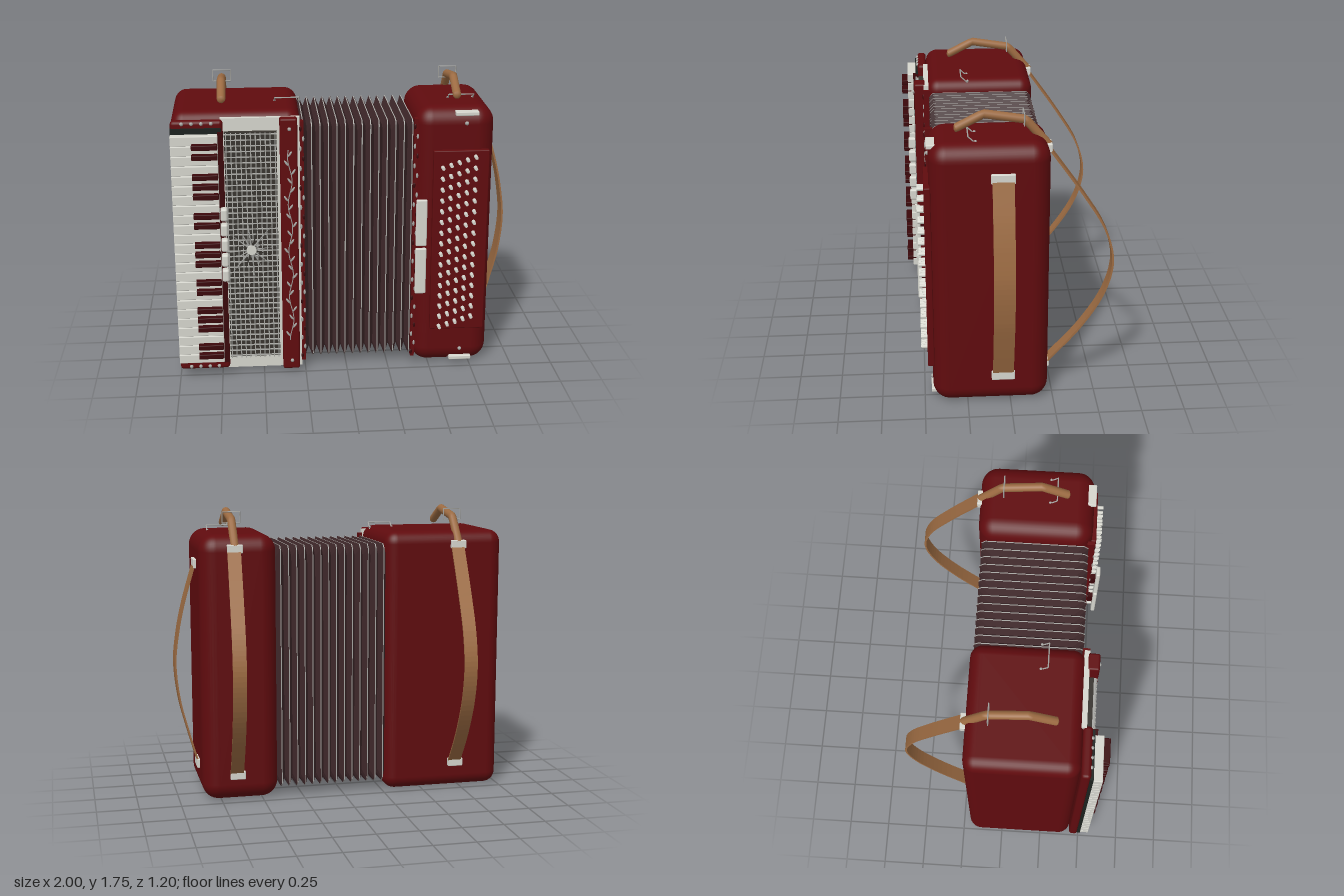
import * as THREE from 'three';
import { RoundedBoxGeometry } from 'three/addons/geometries/RoundedBoxGeometry.js';

const mat = (name, color) => Object.assign(new THREE.MeshStandardMaterial({ color }), { name });

export function createModel() {
  const root = new THREE.Group();
  root.name = 'accordion';
  const red = mat('lacquer red', 0x600b0e);
  const maroon = mat('dark maroon', 0x3a070a);
  const white = mat('ivory', 0xd6d6ce);
  const silver = mat('silver', 0xa8a8a4);
  const dark = mat('grille backing', 0x38342f);
  const black = mat('felt black', 0x1b211e);
  const fold = mat('bellows cloth', 0x40292b);
  const tan = mat('leather tan', 0x9c6b42);
  fold.side = silver.side = THREE.DoubleSide;

  const add = (name, geo, material, parent = root) => {
    const m = new THREE.Mesh(geo, material);
    m.name = name;
    parent.add(m);
    return m;
  };
  // Box given by its limits, optionally rounded
  const box = (name, material, [x0, x1], [y0, y1], [z0, z1], r = 0, parent = root) => {
    const s = [x1 - x0, y1 - y0, z1 - z0];
    const g = r ? new RoundedBoxGeometry(...s, r > 0.03 ? 5 : 2, r) : new THREE.BoxGeometry(...s);
    g.translate((x0 + x1) / 2, (y0 + y1) / 2, (z0 + z1) / 2);
    return add(name, g, material, parent);
  };
  const stud = (name, material, x, y, z, r, parent = root) => {
    const m = add(name, new THREE.SphereGeometry(r, 8, 6), material, parent);
    m.position.set(x, y, z);
    return m;
  };
  const vec = (p) => new THREE.Vector3(...p);
  // Thin wire through straight segments
  const wire = (name, pts, r, material, parent = root) => {
    for (let i = 0; i < pts.length - 1; i++)
      add(name, new THREE.TubeGeometry(new THREE.LineCurve3(vec(pts[i]), vec(pts[i + 1])), 1, r, 6), material, parent);
  };
  const group = (name) => {
    const g = new THREE.Group();
    g.name = name;
    root.add(g);
    return g;
  };

  // Main cases
  box('trebleCase', red, [-1, -0.265], [0, 1.605], [-0.21, 0.44], 0.075);
  box('bassCase', red, [0.4, 0.86], [0, 1.605], [-0.22, 0.45], 0.1);

  // Bellows: chamfered rectangular rings, with narrow trim on each ridge
  const ring = (x, d) => {
    const [y0, y1, z0, z1, c] = [0.06 + d, 1.535 - d, -0.197 + d, 0.428 - d, 0.025];
    return [[z1, y0 + c], [z1, y1 - c], [z1 - c, y1], [z0 + c, y1], [z0, y1 - c], [z0, y0 + c], [z0 + c, y0], [z1 - c, y0]]
      .map(([z, y]) => [x, y, z]);
  };
  const bands = (pairs) => {
    const pos = [];
    for (const [A, B] of pairs)
      for (let j = 0; j < 8; j++) {
        const k = (j + 1) % 8;
        pos.push(...A[j], ...B[j], ...B[k], ...A[j], ...B[k], ...A[k]);
      }
    const g = new THREE.BufferGeometry();
    g.setAttribute('position', new THREE.Float32BufferAttribute(pos, 3));
    g.computeVertexNormals();
    return g;
  };
  const folds = [], trims = [], n = 14, pitch = 0.68 / n;
  for (let i = 0; i < n; i++) {
    const x = -0.275 + i * pitch, m = x + pitch / 2, t = 0.003;
    const a = ring(x, 0.045), p = ring(m - t, 0), q = ring(m + t, 0), b = ring(x + pitch, 0.045);
    folds.push([a, p], [q, b]);
    trims.push([p, q]);
  }
  add('bellowsFolds', bands(folds), fold);
  add('bellowsTrim', bands(trims), silver);

  // Decorated strips at both ends of the bellows
  for (const x of [-0.26, 0.398]) {
    const g = group('bellowsEdge');
    box('edgeStrip', red, [x - 0.011, x + 0.011], [0.06, 1.55], [0.42, 0.462], 0, g);
    for (let i = 0; i < 25; i++) {
      const s = stud('edgeOrnament', i % 3 ? silver : maroon, x + (i % 2 ? 0.008 : -0.008), 0.09 + i * 0.059, 0.463, 0.009, g);
      s.scale.set(0.8, 1.8, 0.5);
    }
  }

  // Treble front: ivory frame, keyboard bed, felt
  box('trebleFrame', white, [-0.72, -0.27], [0.025, 1.575], [0.43, 0.46]);
  box('keyboardBed', red, [-1, -0.705], [0.035, 1.57], [0.44, 0.495], 0.02);
  box('keyFelt', black, [-1, -0.715], [0.095, 1.53], [0.49, 0.51]);
  box('keyRail', maroon, [-0.737, -0.705], [0.09, 1.51], [0.49, 0.525]);
  for (const y of [0.055, 1.555])
    for (let i = 0; i < 4; i++) stud('bedStud', silver, -0.935 + i * 0.055, y, 0.495, 0.011);

  // Piano keys
  const keys = group('keyboard');
  const kp = 1.395 / 24;
  for (let k = 0; k < 24; k++) {
    const y = 1.5 - k * kp;
    box('whiteKey', white, [-1, -0.735], [y - kp + 0.004, y], [0.51, 0.562], 0.004, keys);
    if ([1, 2, 4, 5, 6].includes(k % 7))
      box('blackKey', maroon, [-0.882, -0.737], [y - 0.014, y + 0.016], [0.54, 0.6], 0.004, keys);
  }
  // Register switches
  for (let i = 0; i < 5; i++) {
    const y = 1.033 - i * 0.093;
    box('registerSwitch', white, [-0.732, -0.692], [y - 0.037, y + 0.037], [0.515, 0.57], 0.012);
  }

  // Grille with lattice and star
  const grille = group('grille');
  box('grilleBacking', dark, [-0.7, -0.403], [0.11, 1.5], [0.45, 0.49], 0, grille);
  for (let i = 0; i < 11; i++) {
    const x = -0.69 + i * 0.0278;
    box('grilleBar', silver, [x - 0.003, x + 0.003], [0.11, 1.5], [0.5, 0.51], 0, grille);
  }
  for (let i = 0; i < 42; i++) {
    const y = 0.12 + i * 0.0334;
    box('grilleCrossbar', silver, [-0.7, -0.403], [y - 0.002, y + 0.002], [0.489, 0.502], 0, grille);
  }
  for (let i = 0; i < 16; i++) {
    const a = (i / 16) * Math.PI * 2 + 0.1, len = i % 2 ? 0.14 : 0.2;
    const g = new THREE.ConeGeometry(0.007, len, 4).translate(0, len / 2, 0);
    const m = add('starRay', g, i % 4 === 3 ? dark : silver, grille);
    m.position.set(-0.56, 0.8, 0.513);
    m.rotation.z = a;
    m.scale.set(Math.abs(Math.sin(a)) > 0.8 ? 0.8 : 1, Math.abs(Math.sin(a)) > 0.75 ? 0.75 : 1, 0.6);
  }
  const boss = add('starBoss', new THREE.CylinderGeometry(0.028, 0.028, 0.016, 20).rotateX(Math.PI / 2), white, grille);
  boss.position.set(-0.56, 0.8, 0.518);

  // Vine panel
  const vine = group('vinePanel');
  box('panel', red, [-0.386, -0.286], [0.03, 1.58], [0.45, 0.518], 0.012, vine);
  const sway = (y) => -0.332 + 0.012 * Math.sin(y * 22);
  const stem = [];
  for (let i = 0; i <= 40; i++) stem.push(vec([sway(0.22 + i * 0.0295), 0.22 + i * 0.0295, 0.52]));
  add('vineStem', new THREE.TubeGeometry(new THREE.CatmullRomCurve3(stem), 80, 0.003, 5), silver, vine);
  for (let i = 0; i < 22; i++) {
    const y = 0.25 + i * 0.053, s = i % 2 ? 1 : -1;
    const leaf = stud('vineLeaf', silver, sway(y) + s * 0.014, y + 0.012, 0.52, 0.02, vine);
    leaf.scale.set(0.32, 1, 0.2);
    leaf.rotation.z = -s * 0.6;
  }
  for (const y of [0.085, 1.52]) stud('panelScrew', silver, -0.332, y, 0.518, 0.011, vine);

  // Bass buttons
  const bass = group('bassButtons');
  box('buttonPlate', red, [0.5, 0.825], [0.24, 1.36], [0.44, 0.478], 0.006, bass);
  for (let c = 0; c < 5; c++)
    for (let r = 0; r < 16; r++) {
      const b = add('bassButton', new THREE.CylinderGeometry(0.01, 0.012, 0.042, 8).rotateX(Math.PI / 2), white, bass);
      b.position.set(0.553 + c * 0.0475, 1.262 + c * 0.0155 - r * 0.0665, 0.494);
    }
  // Bass switches, bumpers and screws
  for (const y of [0.495, 0.795]) {
    box('bassSwitch', white, [0.398, 0.463], [y, y + 0.285], [0.5, 0.525], 0.008);
    box('switchPost', maroon, [0.425, 0.455], [y + 0.1, y + 0.18], [0.4, 0.505]);
  }
  for (const y of [0.035, 1.572]) box('bassBumper', white, [0.625, 0.76], [y - 0.012, y + 0.012], [0.4, 0.46], 0.005);
  for (const y of [0.095, 1.515]) stud('bassScrew', silver, 0.69, y, 0.452, 0.012);

  // Flat strap: a curve thickened in its plane and extruded to its width
  const strap = (pts, width, th) => {
    const c = new THREE.CatmullRomCurve3(pts.map(([a, b]) => new THREE.Vector3(a, b, 0)));
    const outer = [], inner = [];
    for (let i = 0; i <= 40; i++) {
      const p = c.getPoint(i / 40), t = c.getTangent(i / 40);
      outer.push(new THREE.Vector2(p.x - t.y * th / 2, p.y + t.x * th / 2));
      inner.unshift(new THREE.Vector2(p.x + t.y * th / 2, p.y - t.x * th / 2));
    }
    return new THREE.ExtrudeGeometry(new THREE.Shape([...outer, ...inner]), { depth: width, bevelEnabled: false })
      .translate(0, 0, -width / 2);
  };

  // Hand strap on the bass side
  const hand = strap([[0.865, 1.43], [0.94, 1.17], [0.975, 1.0], [0.994, 0.82], [0.973, 0.6], [0.93, 0.42], [0.865, 0.19]], 0.12, 0.01);
  add('handStrap', hand.translate(0, 0, 0.045), tan);
  for (const y of [0.192, 1.422]) box('handStrapClip', white, [0.85, 0.877], [y - 0.028, y + 0.028], [-0.022, 0.112], 0.005);

  // Shoulder straps
  for (const x of [-0.713, 0.655]) {
    const g = group('shoulderStrap');
    const back = strap([[-0.215, 1.53], [-0.42, 1.24], [-0.545, 1.03], [-0.592, 0.84], [-0.55, 0.64], [-0.42, 0.41], [-0.215, 0.16]], 0.08, 0.011);
    back.rotateY(-Math.PI / 2);
    const p = back.attributes.position;
    for (let i = 0; i < p.count; i++) p.setX(i, p.getX(i) + x + 0.005 + Math.max(0, -p.getZ(i) - 0.22) * 0.08);
    back.computeVertexNormals();
    add('backStrap', back, tan, g);
    for (const y of [0.162, 1.525]) box('strapClip', white, [x - 0.046, x + 0.046], [y - 0.025, y + 0.025], [-0.238, -0.205], 0.005, g);

    // Padded upper end resting above the case
    const path = new THREE.CurvePath();
    const pts = [[0.29, 1.645], [0.14, 1.722], [-0.09, 1.685], [-0.222, 1.53]].map(([z, y]) => vec([x, y, z]));
    for (let i = 0; i < 3; i++) path.add(new THREE.LineCurve3(pts[i], pts[i + 1]));
    add('upperStrap', new THREE.TubeGeometry(path, 32, 0.025, 12), tan, g);
    const cap = stud('strapEnd', tan, x, 1.645, 0.29, 0.025, g);
    cap.scale.z = 0.6;

    // Wire buckle
    const [l, r, b, t, z] = [x - 0.053, x + 0.053, 1.665, 1.732, -0.08];
    wire('buckle', [[l, b, z], [r, b, z], [r, t, z], [l, t, z], [l, b, z]], 0.0035, silver, g);
  }

  // Wire brackets on top of the cases
  for (const [a, b] of [[-0.405, -0.262], [0.617, 0.765]]) {
    wire('topBracket', [[a, 1.595, 0.19], [a, 1.632, 0.23], [b, 1.632, 0.23], [b, 1.595, 0.19]], 0.004, silver);
    for (const x of [a, b]) stud('bracketFoot', silver, x, 1.605, 0.19, 0.008);
  }

  return root;
}
